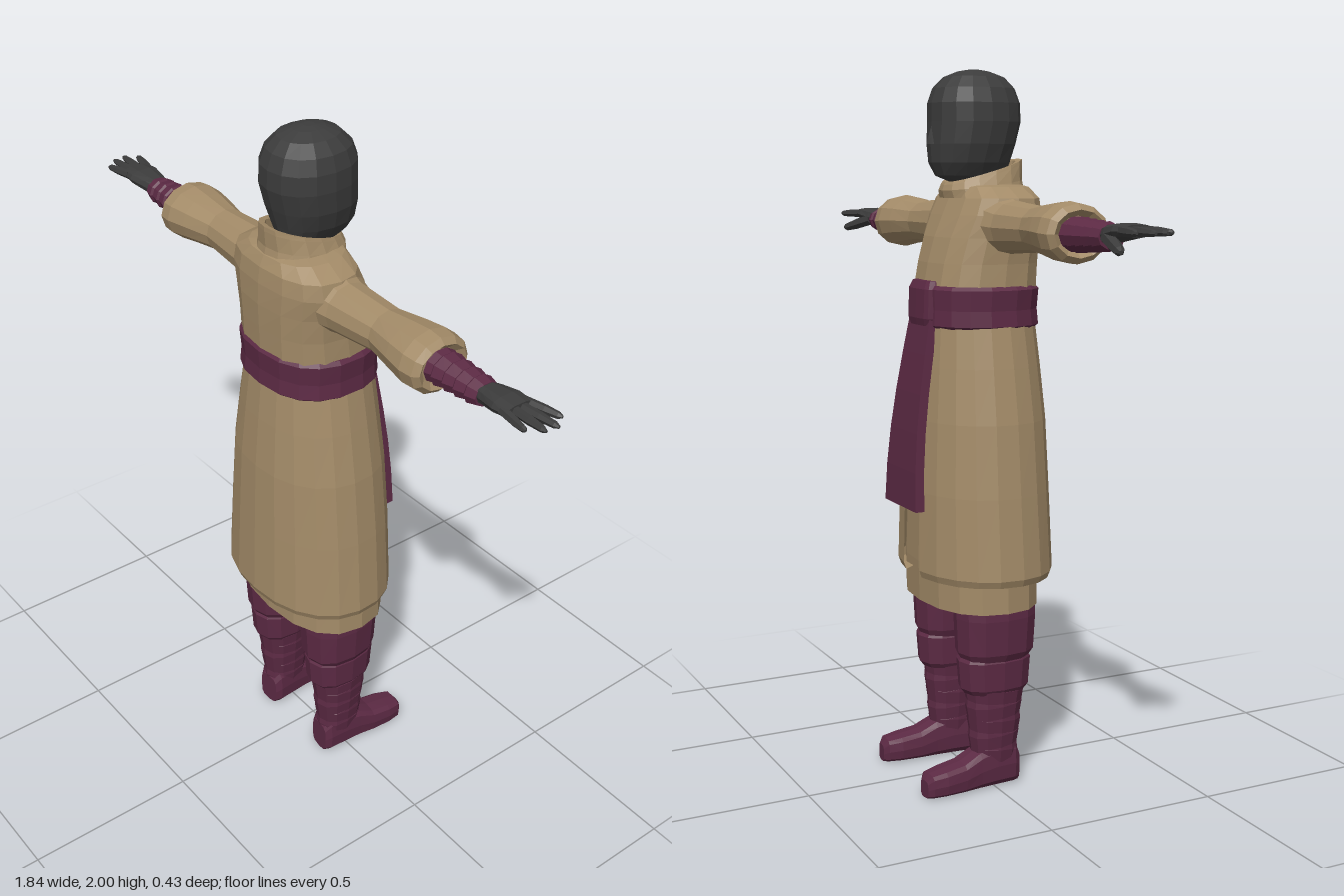
import * as THREE from 'three';

const cloth = new THREE.MeshStandardMaterial({ color: 0xa38b68, side: THREE.DoubleSide });
cloth.name = 'tan cloth';
const wrap = new THREE.MeshStandardMaterial({ color: 0x5c2a44 });
wrap.name = 'plum wrap';
const skin = new THREE.MeshStandardMaterial({ color: 0x3c3c3c });
skin.name = 'charcoal skin';

// Loft through oval sections [y, centre x, half width, +z edge, -z edge, tilt], bottom to top.
// gap leaves an opening on the -z side; power above 2 squares the oval.
function loft(sections, { sides = 16, power = 2, gap = 0, caps = true } = {}) {
  const rows = sections.slice();
  if (caps) {
    const end = ([y, cx, , a, b]) => [y, cx, 0, (a + b) / 2, (a + b) / 2];
    rows.unshift(end(rows[0]));
    rows.push(end(rows[rows.length - 1]));
  }
  const pos = [], idx = [];
  const bend = v => Math.sign(v) * Math.abs(v) ** (2 / power);
  for (const [y, cx, rx, zb, zf, tilt = 0] of rows) {
    for (let j = 0; j <= sides; j++) {
      const t = -Math.PI + gap + (j / sides) * 2 * (Math.PI - gap);
      const c = bend(Math.cos(t));
      pos.push(cx + rx * bend(Math.sin(t)), y + tilt * c, (zb + zf) / 2 + c * (zb - zf) / 2);
    }
  }
  const w = sides + 1;
  for (let i = 0; i < rows.length - 1; i++) {
    for (let j = 0; j < sides; j++) {
      const a = i * w + j;
      idx.push(a, a + 1, a + w + 1, a, a + w + 1, a + w);
    }
  }
  const g = new THREE.BufferGeometry();
  g.setAttribute('position', new THREE.Float32BufferAttribute(pos, 3));
  g.setIndex(idx);
  const flat = g.toNonIndexed();
  flat.computeVertexNormals();
  return flat;
}

function add(parent, name, geometry, material) {
  const m = new THREE.Mesh(geometry, material);
  m.name = name;
  parent.add(m);
  return m;
}

// Loft along +x through sections [x, top y, bottom y, +z edge, -z edge]
function sideLoft(sections, options) {
  const rows = sections.map(([x, t, b, zb, zf]) => [x, -(t + b) / 2, (t - b) / 2, zb, zf]);
  return loft(rows, options).rotateZ(-Math.PI / 2);
}

// Tapered finger from a to b
function finger(a, b, r) {
  const from = new THREE.Vector3(...a), to = new THREE.Vector3(...b);
  const dir = to.clone().sub(from);
  const len = dir.length();
  const g = loft([[0, 0, r, r, -r], [len * 0.55, 0, r * 0.95, r * 0.95, -r * 0.95],
    [len * 0.9, 0, r * 0.7, r * 0.7, -r * 0.7], [len, 0, r * 0.3, r * 0.3, -r * 0.3]], { sides: 6 });
  g.applyQuaternion(new THREE.Quaternion().setFromUnitVectors(new THREE.Vector3(0, 1, 0), dir.normalize()));
  return g.translate(from.x, from.y, from.z);
}

function buildArm() {
  const arm = new THREE.Group();
  add(arm, 'sleeve', sideLoft([
    [0.14, 1.67, 1.50, 0.13, -0.05], [0.2, 1.65, 1.51, 0.115, -0.035], [0.35, 1.64, 1.52, 0.1, -0.03],
    [0.44, 1.65, 1.51, 0.12, -0.05], [0.5, 1.655, 1.50, 0.13, -0.06], [0.54, 1.65, 1.50, 0.125, -0.055],
    [0.555, 1.635, 1.515, 0.11, -0.04], [0.54, 1.62, 1.53, 0.09, -0.02]], { sides: 12 }), cloth);

  // Overlapping forearm bindings
  const bands = [];
  for (let i = 0; i < 5; i++) {
    const x = 0.53 + i * 0.036, k = i * 0.0025;
    bands.push([x, 1.622 - k, 1.525 + k, 0.088 - k, -0.024 + k],
      [x + 0.03, 1.615 - k, 1.533 + k, 0.08 - k, -0.016 + k]);
  }
  add(arm, 'forearmWrap', sideLoft(bands, { sides: 10 }), wrap);

  add(arm, 'palm', sideLoft([
    [0.68, 1.6, 1.55, 0.06, 0.005], [0.72, 1.605, 1.56, 0.07, -0.005],
    [0.77, 1.61, 1.57, 0.083, -0.012], [0.815, 1.607, 1.577, 0.08, -0.008]], { sides: 10, power: 2.6 }), skin);
  const tips = [[0.895, -0.02], [0.92, 0.015], [0.915, 0.05], [0.885, 0.085]];
  tips.forEach(([x, z], i) =>
    add(arm, 'finger', finger([0.795, 1.592, 0.003 + i * 0.0225], [x, 1.59, z], 0.0125), skin));
  add(arm, 'thumb', finger([0.72, 1.575, 0.01], [0.845, 1.545, -0.03], 0.018), skin);
  return arm;
}

function buildLeg() {
  const leg = new THREE.Group();
  add(leg, 'trouserLeg', loft([
    [0.37, 0.137, 0.068, 0.105, -0.085], [0.4, 0.138, 0.082, 0.125, -0.1],
    [0.5, 0.138, 0.088, 0.13, -0.105], [0.62, 0.13, 0.088, 0.13, -0.105]],
    { sides: 12, power: 2.4 }), wrap);
  add(leg, 'kneeCuff', loft([
    [0.28, 0.137, 0.062, 0.1, -0.08], [0.295, 0.137, 0.07, 0.112, -0.092],
    [0.375, 0.137, 0.074, 0.118, -0.098], [0.392, 0.137, 0.066, 0.108, -0.088]],
    { sides: 12, power: 2.4 }), wrap);

  // Shin bindings, each band tilted the other way
  const shin = [];
  for (let i = 0; i < 5; i++) {
    const y = 0.075 + i * 0.044, k = i * 0.004, tilt = i % 2 ? 0.006 : -0.006;
    shin.push([y, 0.138, 0.046 + k, 0.075 + k, -0.055 - k, tilt],
      [y + 0.036, 0.138, 0.051 + k, 0.081 + k, -0.061 - k, tilt]);
  }
  add(leg, 'shinWrap', loft(shin, { sides: 12, power: 2.3 }), wrap);

  // Boot runs heel to toe, turned slightly outward: [distance, half width, height]
  const boot = loft([[-0.078, 0.036, 0.1], [-0.06, 0.047, 0.125], [0.0, 0.047, 0.125], [0.05, 0.046, 0.11],
    [0.1, 0.048, 0.085], [0.16, 0.047, 0.075], [0.2, 0.038, 0.068], [0.213, 0.022, 0.05]]
    .map(([d, w, h]) => [d, 0, w, h, 0]), { sides: 12, power: 3.5 });
  boot.rotateX(-Math.PI / 2).rotateY(-0.07);
  // stand the section's height axis upright
  boot.computeBoundingBox();
  boot.translate(0.138, -boot.boundingBox.min.y, 0);
  add(leg, 'boot', boot, wrap);
  return leg;
}

export function createModel() {
  const model = new THREE.Group();
  model.name = 'robedFigure';

  // Head, with the face towards -z
  add(model, 'head', loft([
    [1.64, 0, 0.06, 0.11, -0.02], [1.7, 0, 0.062, 0.105, -0.055], [1.715, 0, 0.07, 0.105, -0.095],
    [1.75, 0, 0.092, 0.115, -0.112], [1.8, 0, 0.108, 0.13, -0.115], [1.86, 0, 0.115, 0.145, -0.112],
    [1.91, 0, 0.113, 0.143, -0.112], [1.95, 0, 0.1, 0.128, -0.098], [1.98, 0, 0.072, 0.1, -0.068],
    [1.995, 0, 0.038, 0.06, -0.03], [2, 0, 0.015, 0.03, 0]], { sides: 16, power: 2.2 }), skin);
  add(model, 'nose', new THREE.ConeGeometry(0.016, 0.05, 4).translate(0, 1.825, -0.112), skin);

  // Upper coat
  add(model, 'jacket', loft([
    [1.4, 0, 0.183, 0.175, -0.14], [1.48, 0, 0.182, 0.178, -0.125], [1.55, 0, 0.188, 0.18, -0.105],
    [1.61, 0, 0.2, 0.178, -0.08], [1.655, 0, 0.19, 0.172, -0.06], [1.685, 0, 0.135, 0.158, -0.05],
    [1.695, 0, 0.08, 0.13, -0.03]], { power: 2.5 }), cloth);
  add(model, 'collar', loft([
    [1.66, 0, 0.112, 0.16, -0.075, 0.005], [1.69, 0, 0.102, 0.152, -0.08, 0.015],
    [1.72, 0, 0.09, 0.155, -0.075, 0.03], [1.73, 0, 0.086, 0.155, -0.07, 0.032],
    [1.725, 0, 0.074, 0.138, -0.055, 0.032], [1.68, 0, 0.07, 0.125, -0.045, 0.01]],
    { caps: false, power: 2.2 }), cloth);

  // Coat skirt, open down the -z side over an inner skirt
  add(model, 'innerSkirt', loft([
    [0.525, 0, 0.24, 0.165, -0.155], [0.64, 0, 0.238, 0.165, -0.158], [1.0, 0, 0.215, 0.17, -0.15],
    [1.33, 0, 0.175, 0.16, -0.125]], { power: 2.4 }), cloth);
  add(model, 'coatSkirt', loft([
    [0.615, 0, 0.236, 0.165, -0.155], [0.605, 0, 0.262, 0.208, -0.175], [0.625, 0, 0.27, 0.216, -0.182],
    [0.85, 0, 0.253, 0.208, -0.178], [1.05, 0, 0.234, 0.2, -0.168], [1.2, 0, 0.21, 0.187, -0.155],
    [1.33, 0, 0.187, 0.174, -0.143]], { sides: 20, power: 2.2, gap: 0.17, caps: false }), cloth);

  // Belt with a folded edge
  add(model, 'belt', loft([
    [1.305, 0, 0.184, 0.174, -0.142], [1.312, 0, 0.192, 0.182, -0.15], [1.355, 0, 0.188, 0.178, -0.148],
    [1.41, 0, 0.193, 0.182, -0.15], [1.42, 0, 0.184, 0.174, -0.142]], { sides: 18, power: 2.4 }), wrap);
  add(model, 'beltKnot', loft([
    [1.31, 0, 0.062, -0.11, -0.158], [1.33, 0, 0.07, -0.11, -0.163], [1.41, 0, 0.07, -0.11, -0.16],
    [1.432, 0, 0.06, -0.11, -0.15]], { sides: 12, power: 4 }), wrap);

  // Hanging sash panel, bent from a box: widens and swings out towards the hem
  const panel = new THREE.BoxGeometry(1, 1, 1, 1, 5, 1).toNonIndexed();
  const p = panel.attributes.position;
  for (let i = 0; i < p.count; i++) {
    const d = 0.5 - p.getY(i);
    const z = -0.136 - 0.064 * Math.sin(d * Math.PI / 2) + p.getZ(i) * 0.026;
    p.setXYZ(i, p.getX(i) * (0.13 + 0.08 * d), 1.34 - 0.535 * d, z);
  }
  panel.computeVertexNormals();
  add(model, 'sashPanel', panel, wrap);

  // Limbs on both sides
  for (const [side, s] of [['left', 1], ['right', -1]]) {
    const arm = buildArm(), leg = buildLeg();
    arm.name = side + 'Arm';
    leg.name = side + 'Leg';
    arm.scale.x = leg.scale.x = s;
    model.add(arm, leg);
  }
  return model;
}
